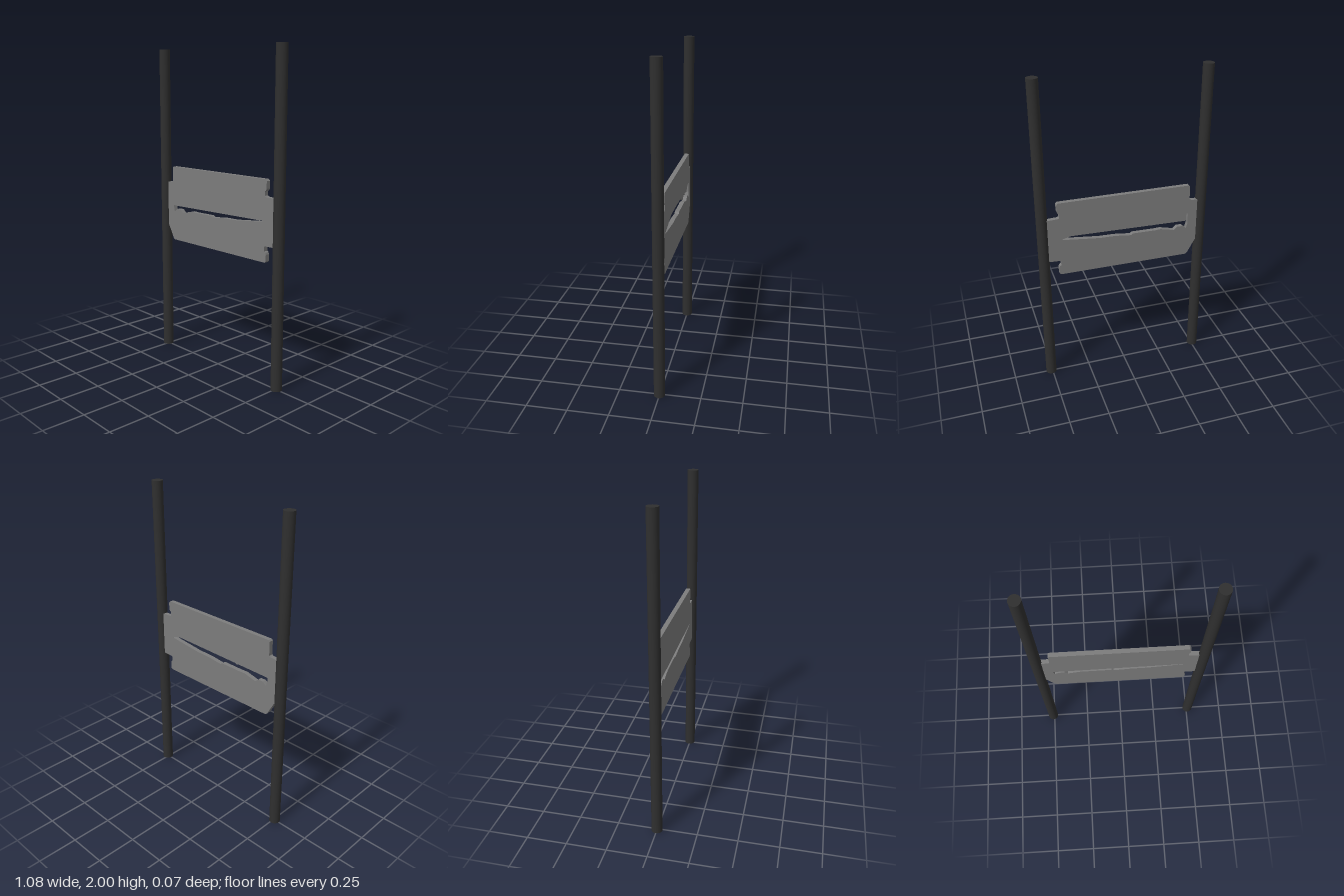
import * as THREE from 'three';

const Z_BACK = -0.018, Z_FRONT = 0.01;
const points = (list) => list.map(([x, y]) => new THREE.Vector2(x, y));

// Flat outline extruded between two depths
function slab(name, shape, z0, z1, material) {
  const geometry = new THREE.ExtrudeGeometry(shape, { depth: z1 - z0, bevelEnabled: false });
  geometry.translate(0, 0, z0);
  const mesh = new THREE.Mesh(geometry, material);
  mesh.name = name;
  return mesh;
}

export function createModel() {
  const group = new THREE.Group();
  group.name = 'bladeBetweenRods';
  const darkMetal = new THREE.MeshStandardMaterial({ color: 0x2f2f2f });
  const plateMetal = new THREE.MeshStandardMaterial({ color: 0x7c7c7c });

  // Two upright rods
  for (const [name, side] of [['leftRod', 1], ['rightRod', -1]]) {
    const rod = new THREE.Mesh(new THREE.CylinderGeometry(0.034, 0.034, 2, 32), darkMetal);
    rod.name = name;
    rod.position.set(side * 0.508, 1, 0);
    group.add(rod);
  }

  // Blade outline: notched corners, one corner cut off diagonally
  const outline = points([
    [-0.415, 0.759], [0.408, 0.759], [0.418, 0.769], [0.418, 0.808], [0.413, 0.82],
    [0.404, 0.826], [0.404, 0.852], [0.412, 0.857], [0.485, 0.86],
    [0.485, 1.143], [0.412, 1.147], [0.404, 1.153], [0.404, 1.178], [0.413, 1.184],
    [0.418, 1.195], [0.418, 1.239], [0.408, 1.249], [-0.418, 1.249], [-0.426, 1.241],
    [-0.426, 1.153], [-0.436, 1.147], [-0.485, 1.143], [-0.485, 0.86], [-0.474, 0.855],
    [-0.428, 0.771],
  ]);

  // Jagged edges of the crack, from the wide end to the tip
  const lowerEdge = [
    [-0.42, 0.985], [-0.41, 0.95], [-0.385, 0.97], [-0.35, 0.97], [-0.328, 0.95],
    [-0.24, 0.971], [-0.2, 0.969], [-0.055, 0.971], [-0.042, 0.961], [0.06, 0.973],
    [0.16, 0.975], [0.27, 0.987], [0.39, 1.0],
  ];
  const upperEdge = [
    [0.39, 1.005], [0.27, 1.035], [0.16, 1.058], [0.06, 1.055], [-0.03, 1.04],
    [-0.1, 1.043], [-0.18, 1.006], [-0.23, 1.033], [-0.324, 1.012], [-0.37, 1.045],
    [-0.42, 1.055],
  ];

  const bladeShape = new THREE.Shape(outline);
  bladeShape.holes.push(new THREE.Path(points([...lowerEdge, ...upperEdge])));
  group.add(slab('blade', bladeShape, Z_BACK, Z_FRONT, plateMetal));

  // Thin front skin closing the upper half of the crack along a straight lip
  const skinShape = new THREE.Shape(points([[-0.42, 0.99], ...upperEdge]));
  group.add(slab('crackLip', skinShape, Z_FRONT - 0.003, Z_FRONT, plateMetal));

  return group;
}
